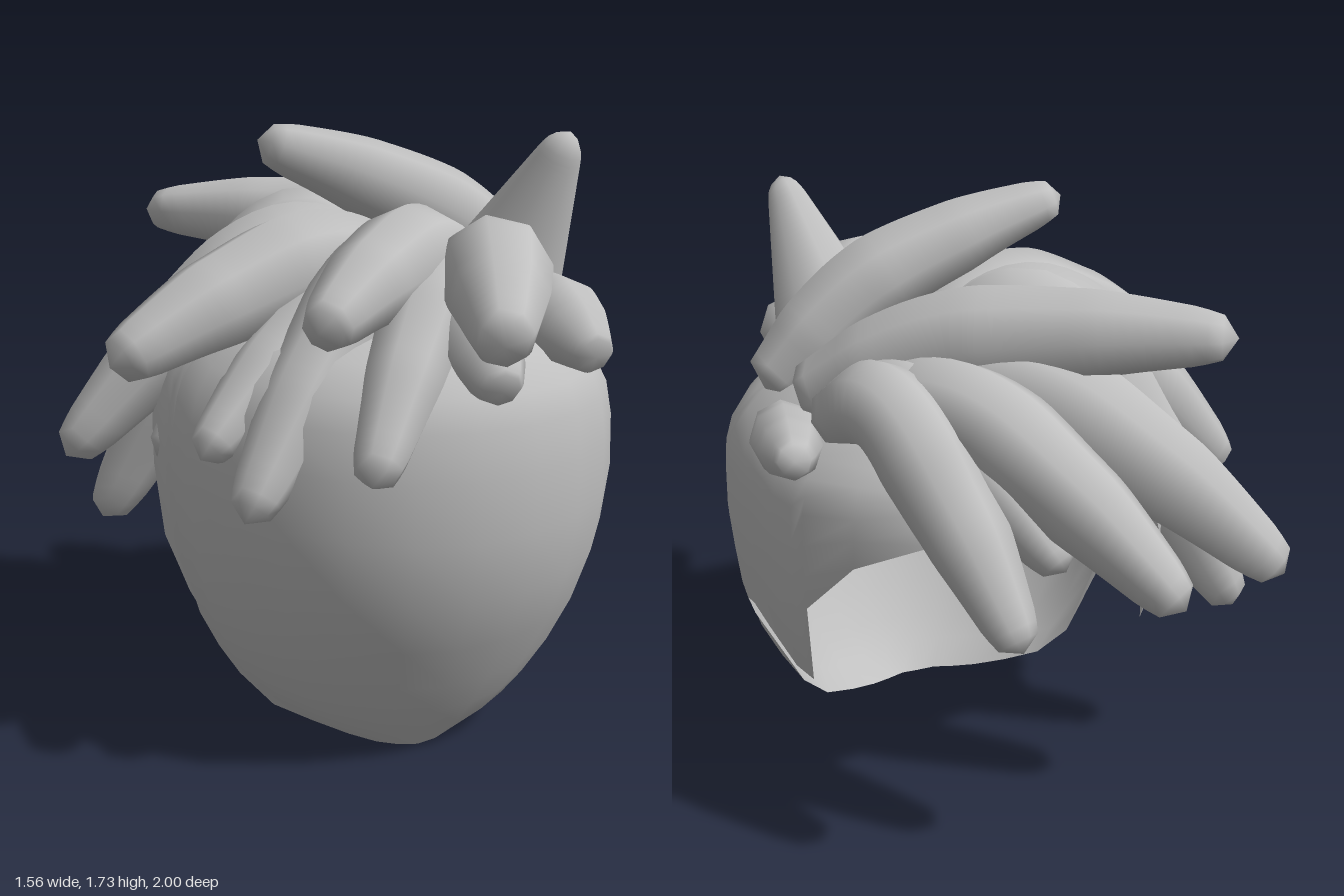
import * as THREE from 'three';
import { mergeVertices } from 'three/addons/utils/BufferGeometryUtils.js';

const clay = new THREE.MeshStandardMaterial({ color: 0xc0c0c0, side: THREE.DoubleSide });
clay.name = 'clay grey';

// Piecewise linear lookup in rows of [key, value]
function lookup(rows, key) {
  let i = 0;
  while (i < rows.length - 2 && key > rows[i + 1][0]) i++;
  const [a, b] = [rows[i], rows[i + 1]];
  return THREE.MathUtils.lerp(a[1], b[1], THREE.MathUtils.clamp((key - a[0]) / (b[0] - a[0]), 0, 1));
}

// Head cross-sections: [height, half width, front z, back z]
const SECTIONS = [
  [0, 0.2, 0.46, -0.2], [0.1, 0.39, 0.54, -0.3], [0.2, 0.47, 0.61, -0.4],
  [0.36, 0.57, 0.7, -0.5], [0.56, 0.63, 0.79, -0.58], [0.78, 0.655, 0.83, -0.62],
  [0.98, 0.65, 0.82, -0.64], [1.08, 0.62, 0.79, -0.61], [1.18, 0.53, 0.7, -0.52],
  [1.26, 0.39, 0.52, -0.4], [1.31, 0.2, 0.33, -0.15], [1.33, 0, 0.15, 0.15],
];
// Lower rim of the open shell: [degrees from the front, height]
const RIM = [
  [0, 0.005], [15, 0.01], [30, 0.015], [45, 0.03], [60, 0.06], [72, 0.1], [81, 0.19],
  [84, 0.46], [87, 0.53], [98, 0.575], [106, 0.54], [115, 0.45], [122, 0.435],
  [126, 0.7], [141, 0.87], [160, 0.96], [180, 0.98],
];

// Welds the seams and smooths the normals
function smooth(geo) {
  const merged = mergeVertices(geo, 1e-4);
  merged.computeVertexNormals();
  return merged;
}

function headShell() {
  const rows = 14, zMid = 0.15, pos = [], index = [];
  const mirrored = RIM.slice(1, -1).map(([a, y]) => [360 - a, y]).reverse();
  const columns = [...RIM, ...mirrored];
  const heights = SECTIONS.map((s, i) => [s[0], i]);
  for (const [deg, rimY] of columns) {
    const t = THREE.MathUtils.degToRad(deg), start = lookup(heights, rimY);
    const c = Math.cos(t);
    // The rear +x quarter is squarer than an ellipse
    const across = deg > 90 && deg < 180 ? Math.sin(t) ** 0.75 : Math.sin(t);
    for (let r = 0; r <= rows; r++) {
      const s = THREE.MathUtils.lerp(start, SECTIONS.length - 1, r / rows);
      const [y, w, zf, zb] = [0, 1, 2, 3].map(k => lookup(SECTIONS.map((q, i) => [i, q[k]]), s));
      pos.push(0.12 + w * across, y, zMid + c * (c > 0 ? zf - zMid : zMid - zb));
    }
  }
  const n = columns.length;
  for (let i = 0; i < n; i++) {
    for (let r = 0; r < rows; r++) {
      const a = i * (rows + 1) + r, b = ((i + 1) % n) * (rows + 1) + r;
      index.push(a, b, a + 1, b, b + 1, a + 1);
    }
  }
  const geo = new THREE.BufferGeometry();
  geo.setAttribute('position', new THREE.Float32BufferAttribute(pos, 3));
  geo.setIndex(index);
  return smooth(geo);
}

// Thickness along a lock: narrow root, full middle, blunt tip
const LOCK_TAPER = [[0, 0], [0.02, 0.65], [0.2, 0.92], [0.45, 1], [0.7, 0.84], [0.92, 0.55], [0.97, 0.42], [1, 0]];
const HORN_TAPER = [[0, 0], [0.02, 0.9], [0.3, 1], [0.9, 0.36], [0.96, 0.26], [1, 0]];

// A tapered tube from root to tip, raised by arch, most of all near the root
function lockGeometry(root, tip, radius, arch, taper = LOCK_TAPER) {
  const segs = 32, sides = 8;
  const points = [0, 1, 0.7, 0].map((lift, i) => {
    const p = root.clone().lerp(tip, i / 3);
    p.y += arch * lift;
    return p;
  });
  const curve = new THREE.CatmullRomCurve3(points);
  const geo = new THREE.TubeGeometry(curve, segs, radius, sides);
  const pos = geo.attributes.position, v = new THREE.Vector3();
  for (let i = 0; i <= segs; i++) {
    const centre = curve.getPointAt(i / segs), k = lookup(taper, i / segs);
    for (let j = 0; j <= sides; j++) {
      const id = i * (sides + 1) + j;
      v.fromBufferAttribute(pos, id).sub(centre).multiplyScalar(k).add(centre);
      pos.setXYZ(id, v.x, v.y, v.z);
    }
  }
  geo.deleteAttribute('uv');
  geo.deleteAttribute('normal');
  return smooth(geo);
}

// Locks fanning out from a crown point: [tip x, tip y, tip z, radius, arch]
const FAN = {
  backLock: { crown: [0.62, 1.2, -0.06], locks: [
    [-0.09, 0.87, -0.98, 0.135, 0.18], [0.28, 0.77, -0.86, 0.125, 0.22],
    [-0.5, 0.81, -0.78, 0.15, 0.22], [0.13, 0.92, -0.77, 0.12, 0.16],
  ] },
  sideLock: { crown: [0.45, 1.25, 0.05], locks: [
    [-0.61, 0.51, -0.37, 0.15, 0.4], [-0.77, 0.82, -0.01, 0.145, 0.27],
    [-0.53, 0.82, 0.08, 0.12, 0.2], [-0.71, 1.15, 0.39, 0.15, 0.15], [-0.51, 0.92, 0.5, 0.12, 0.17],
  ] },
  frontLock: { crown: [0.47, 1.25, 0.1], locks: [
    [-0.44, 0.79, 0.65, 0.13, 0.27], [-0.27, 1.26, 0.71, 0.14, 0.14],
    [-0.18, 0.91, 0.84, 0.125, 0.2], [0.08, 1.26, 0.99, 0.15, 0.11],
  ] },
};

export function createModel() {
  const model = new THREE.Group();
  model.name = 'maskWithHairLocks';
  const vec = (x, y, z) => new THREE.Vector3(x, y, z);
  const add = (name, geometry) => {
    const mesh = new THREE.Mesh(geometry, clay);
    mesh.name = name;
    model.add(mesh);
  };
  add('headShell', headShell());

  // Each fanned lock is rooted a little way from its crown towards its tip
  for (const [name, { crown, locks }] of Object.entries(FAN)) {
    for (const [x, y, z, radius, arch] of locks) {
      const tip = vec(x, y, z), root = vec(...crown).lerp(tip, 0.18).setY(crown[1]);
      add(name, lockGeometry(root, tip, radius, arch));
    }
  }

  // Locks with their own roots: over the crown, along the brow and at the +x edge
  add('topLock', lockGeometry(vec(0.6, 1.2, -0.05), vec(-0.37, 1.44, -0.69), 0.14, 0.1));
  add('uprightLock', lockGeometry(vec(0.65, 1.18, 0.17), vec(-0.22, 1.69, 0.07), 0.13, 0.1));
  add('fringeLock', lockGeometry(vec(0.46, 1.22, 0.4), vec(0.45, 1.17, 0.78), 0.115, 0.04));
  add('fringeLock', lockGeometry(vec(0.2, 1.25, 0.5), vec(0.15, 1.12, 0.86), 0.11, 0.02));
  add('sideTuft', lockGeometry(vec(0.62, 1.07, 0.12), vec(0.71, 1.17, -0.43), 0.1, 0.01));

  // Pointed tuft standing up above the brow
  add('hornTuft', lockGeometry(vec(0.38, 1.2, 0.28), vec(0.49, 1.72, 0.53), 0.16, 0, HORN_TAPER));
  return model;
}
